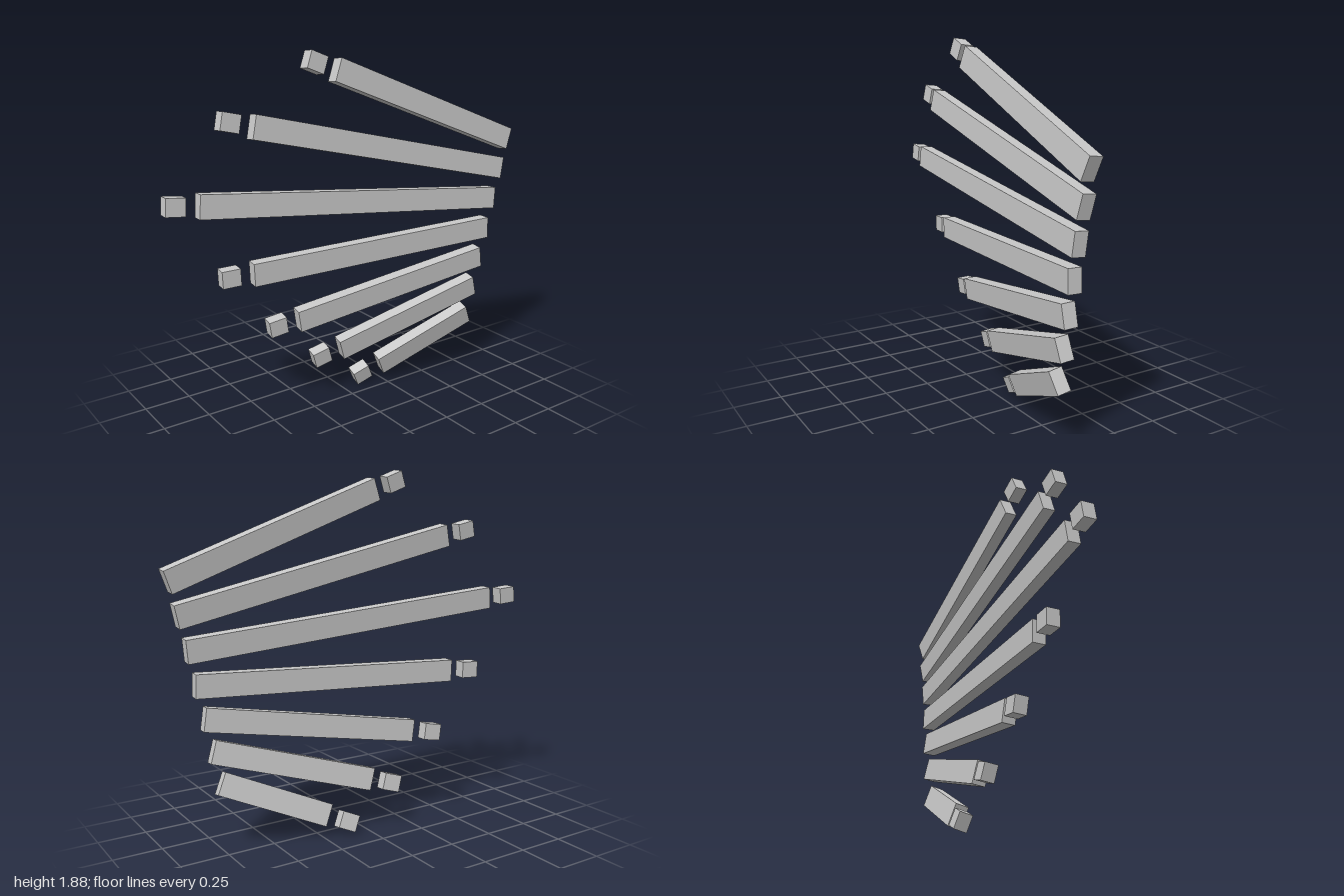
import * as THREE from 'three';

// Each ray of the fan: right end centre, left end centre, detached tip centre,
// and how far the top edge leans toward +z.
const RAYS = [
  { right: [0.977, 1.346, 0.112], left: [-0.135, 1.779, 0.045], tip: [-0.24, 1.817, 0.025], lean: -0.09 },
  { right: [0.941, 1.183, 0.106], left: [-0.57, 1.537, -0.006], tip: [-0.677, 1.563, -0.033], lean: -0.08 },
  { right: [0.899, 1.016, 0.101], left: [-0.836, 1.186, -0.06], tip: [-0.945, 1.196, -0.083], lean: -0.05 },
  { right: [0.863, 0.846, 0.096], left: [-0.561, 0.798, -0.068], tip: [-0.672, 0.796, -0.095], lean: 0 },
  { right: [0.823, 0.678, 0.09], left: [-0.305, 0.492, -0.067], tip: [-0.412, 0.476, -0.1], lean: 0.05 },
  { right: [0.786, 0.511, 0.087], left: [-0.041, 0.263, -0.065], tip: [-0.144, 0.236, -0.1], lean: 0.095 },
  { right: [0.75, 0.343, 0.082], left: [0.215, 0.108, -0.047], tip: [0.117, 0.066, -0.086], lean: 0.16 },
];

const BAR_HEIGHT = 0.118;
const DEPTH = 0.069;

// Rotation whose x axis follows the ray and whose y axis leans by the given amount
function rayRotation(left, right, lean) {
  const along = right.clone().sub(left).normalize();
  const up = new THREE.Vector3(-along.y, along.x, lean);
  up.addScaledVector(along, -up.dot(along)).normalize();
  const out = new THREE.Vector3().crossVectors(along, up);
  return new THREE.Quaternion().setFromRotationMatrix(
    new THREE.Matrix4().makeBasis(along, up, out)
  );
}

export function createModel() {
  const model = new THREE.Group();
  model.name = 'fanOfBars';
  const lightGrey = new THREE.MeshStandardMaterial({ color: 0xc8c8c8 });
  lightGrey.name = 'lightGrey';
  const tipGeometry = new THREE.BoxGeometry(0.096, 0.088, DEPTH);

  RAYS.forEach((ray, i) => {
    const right = new THREE.Vector3(...ray.right);
    const left = new THREE.Vector3(...ray.left);
    const rotation = rayRotation(left, right, ray.lean);

    const group = new THREE.Group();
    group.name = `ray${i + 1}`;

    // Long bar
    const bar = new THREE.Mesh(
      new THREE.BoxGeometry(left.distanceTo(right), BAR_HEIGHT, DEPTH), lightGrey
    );
    bar.name = 'bar';
    bar.position.copy(left).lerp(right, 0.5);
    bar.quaternion.copy(rotation);

    // Small detached block beyond the outer end
    const tip = new THREE.Mesh(tipGeometry, lightGrey);
    tip.name = 'tipBlock';
    tip.position.set(...ray.tip);
    tip.quaternion.copy(rotation);

    group.add(bar, tip);
    model.add(group);
  });
  return model;
}
